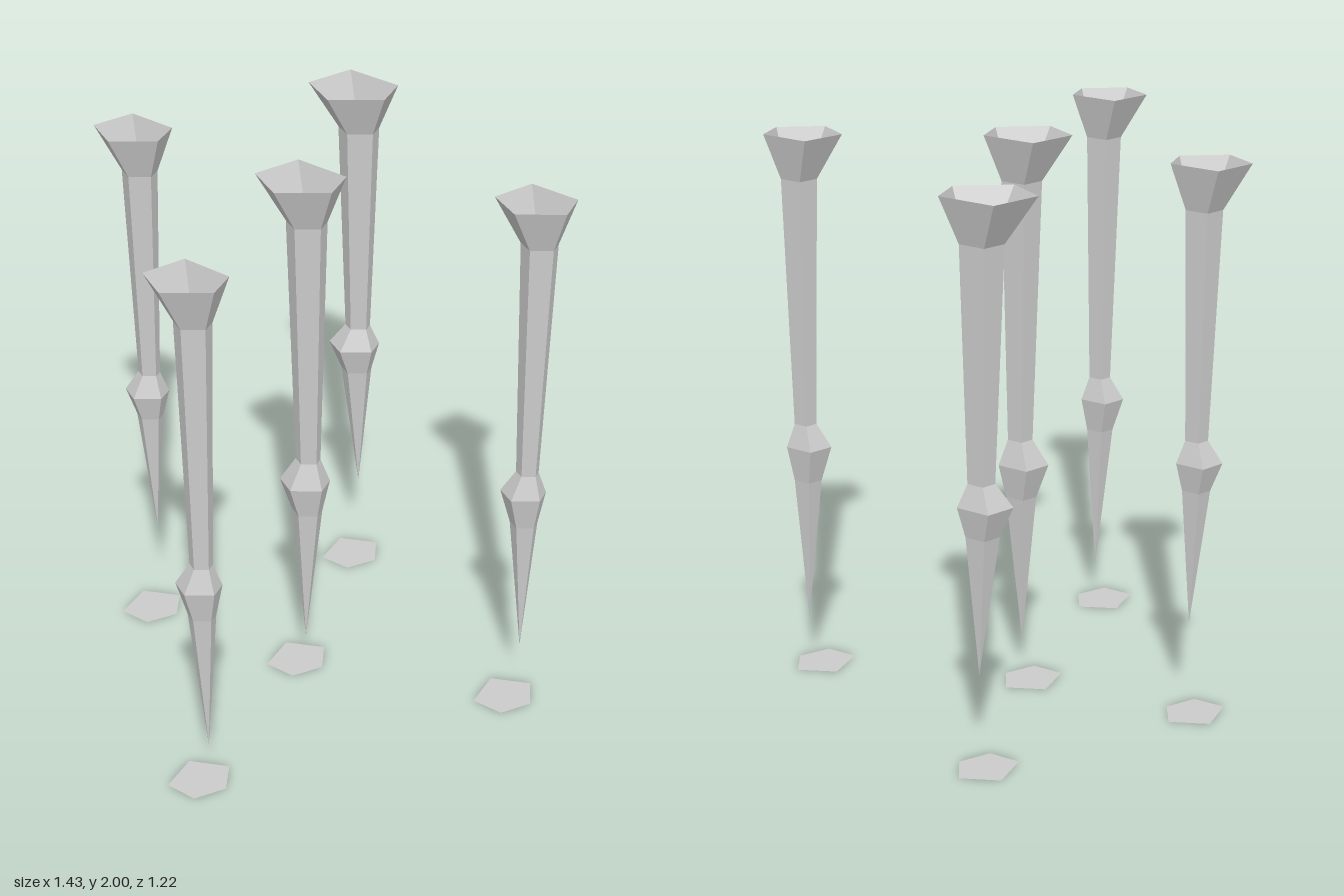
import * as THREE from 'three';

// irregular five-sided cross-section [x, z] shared by every icicle
const SECTION = [[-0.134, -0.1], [0.015, -0.125], [0.095, 0.03], [0.015, 0.1], [-0.134, 0.03]];

// axis [x, z], tip offset [x, z], size, heights from the open rim down to the tip, puddle centre [x, z]
const ICICLES = [
  { name: 'centre', at: [0, 0.08], tip: [-0.016, -0.006], size: 1.12, y: [2, 1.84, 0.91, 0.817, 0.695, 0.14], puddle: [-0.025, 0.006] },
  { name: 'frontRight', at: [-0.571, 0.481], tip: [0, 0], size: 1, y: [1.987, 1.83, 0.913, 0.828, 0.706, 0.15], puddle: [-0.602, 0.457] },
  { name: 'frontLeft', at: [0.619, 0.508], tip: [0, 0], size: 1, y: [1.987, 1.83, 0.945, 0.86, 0.733, 0.2], puddle: [0.56, 0.505] },
  { name: 'backRight', at: [-0.354, -0.492], tip: [0, 0], size: 1, y: [1.987, 1.83, 1.03, 0.95, 0.85, 0.355], puddle: [-0.386, -0.505] },
  { name: 'backLeft', at: [0.455, -0.465], tip: [0, 0], size: 1.17, y: [1.987, 1.83, 1.03, 0.95, 0.845, 0.347], puddle: [0.436, -0.493] },
];

// width of each ring relative to the rim: rim, neck, waist, bulge, under bulge, tip
const WIDTHS = [1, 0.46, 0.29, 0.59, 0.36, 0];

const material = new THREE.MeshStandardMaterial({
  color: 0xcccccc, flatShading: true, side: THREE.DoubleSide,
});

// Loft the section down through the rings to a point
function icicleGeometry({ y, size, tip }) {
  const last = y.length - 1;
  const rings = y.map((h, i) => SECTION.map(([x, z]) => {
    const w = WIDTHS[i] * size;
    const t = i === last ? 1 : 0;
    return [x * w + tip[0] * t, h, z * w + tip[1] * t];
  }));
  const points = [];
  const n = SECTION.length;
  for (let i = 0; i < last; i++) {
    for (let j = 0; j < n; j++) {
      const k = (j + 1) % n;
      const a = rings[i][j], b = rings[i][k], c = rings[i + 1][j], d = rings[i + 1][k];
      points.push(...a, ...b, ...d);
      if (i < last - 1) points.push(...a, ...d, ...c);
    }
  }
  const geometry = new THREE.BufferGeometry();
  geometry.setAttribute('position', new THREE.Float32BufferAttribute(points, 3));
  geometry.computeVertexNormals();
  return geometry;
}

// Flat five-sided puddle with one corner pointing back
function puddleGeometry() {
  const outline = [[-0.115, 0], [-0.059, -0.1], [0.059, -0.1], [0.115, 0], [0, 0.084]];
  const shape = new THREE.Shape(outline.map(([x, y]) => new THREE.Vector2(x, y)));
  return new THREE.ShapeGeometry(shape).rotateX(-Math.PI / 2);
}

export function createModel() {
  const model = new THREE.Group();
  model.name = 'icicles';
  const puddleShape = puddleGeometry();

  for (const spec of ICICLES) {
    // hanging icicle, open at the rim
    const icicle = new THREE.Mesh(icicleGeometry(spec), material);
    icicle.name = `${spec.name} icicle`;
    icicle.position.set(spec.at[0], 0, spec.at[1]);

    // puddle on the floor below
    const puddle = new THREE.Mesh(puddleShape, material);
    puddle.name = `${spec.name} puddle`;
    puddle.position.set(spec.puddle[0], 0, spec.puddle[1]);

    model.add(icicle, puddle);
  }
  return model;
}
